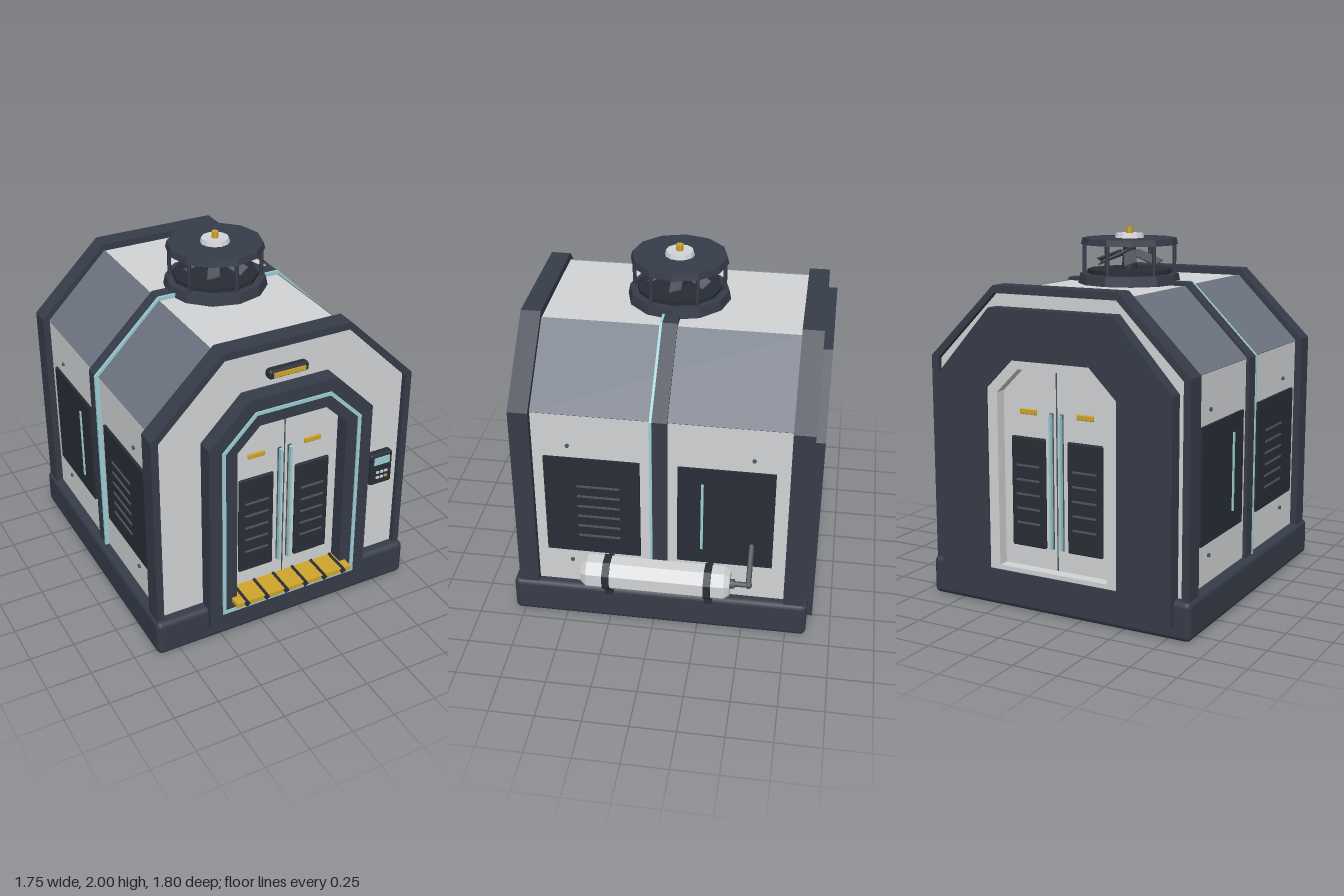
import * as THREE from 'three';
import { RoundedBoxGeometry } from 'three/addons/geometries/RoundedBoxGeometry.js';

const mat = (name, color) => Object.assign(new THREE.MeshStandardMaterial({ color }), { name });

export function createModel() {
  const white = mat('off white', 0xd2d3d5), dark = mat('dark blue grey', 0x363c49),
    panel = mat('charcoal', 0x282d36), slate = mat('slate', 0x6d7480),
    cyan = mat('pale cyan', 0x9ccfd4), yellow = mat('amber', 0xcfa52d), grey = mat('mid grey', 0x50555e);

  const root = new THREE.Group();
  root.name = 'pod';
  // everything but the tank is symmetric about this x
  const pod = new THREE.Group();
  pod.name = 'body';
  pod.position.x = -0.095;
  root.add(pod);

  const add = (parent, name, geo, material, x = 0, y = 0, z = 0) => {
    const m = new THREE.Mesh(geo, material);
    m.name = name;
    m.position.set(x, y, z);
    parent.add(m);
    return m;
  };
  const box = (parent, name, material, x0, x1, y0, y1, z0, z1) =>
    add(parent, name, new THREE.BoxGeometry(x1 - x0, y1 - y0, z1 - z0), material,
      (x0 + x1) / 2, (y0 + y1) / 2, (z0 + z1) / 2);
  const rbox = (parent, name, material, x0, x1, y0, y1, z0, z1, r) =>
    add(parent, name, new RoundedBoxGeometry(x1 - x0, y1 - y0, z1 - z0, 2, r), material,
      (x0 + x1) / 2, (y0 + y1) / 2, (z0 + z1) / 2);
  const flat = (geo) => {
    const g = geo.toNonIndexed();
    g.computeVertexNormals();
    return g;
  };
  // faceted upright cylinder between two heights
  const drum = (parent, name, material, rt, rb, y0, y1, sides, x = 0, z = 0) =>
    add(parent, name, flat(new THREE.CylinderGeometry(rt, rb, y1 - y0, sides)), material, x, (y0 + y1) / 2, z);

  // gabled outline: half width, bottom, shoulder height, half width of top, top
  const outline = ([w, y0, ys, t, y1]) =>
    [[-w, y0], [w, y0], [w, ys], [t, y1], [-t, y1], [-w, ys]].map((p) => new THREE.Vector2(...p));
  const slab = (parent, name, material, outer, inner, z0, z1) => {
    const s = new THREE.Shape(outline(outer));
    if (inner) s.holes.push(new THREE.Path(outline(inner)));
    return add(parent, name, new THREE.ExtrudeGeometry(s, { depth: z1 - z0, bevelEnabled: false }), material, 0, 0, z0);
  };

  // base and shell
  rbox(pod, 'base', dark, -0.785, 0.785, 0, 0.21, -0.865, 0.805, 0.03);
  const shell = [0.73, 0.15, 1.32, 0.36, 1.69];
  slab(pod, 'shell', white, shell, null, -0.815, 0.74);
  const frame = [0.77, 0.15, 1.335, 0.368, 1.73];
  slab(pod, 'frontFrame', dark, frame, shell, 0.66, 0.77);
  slab(pod, 'backFrame', dark, frame, shell, -0.845, -0.73);
  slab(pod, 'middleRib', dark, [0.75, 0.15, 1.328, 0.364, 1.71], null, -0.075, 0.006);
  slab(pod, 'ribLight', cyan, [0.755, 0.2, 1.329, 0.366, 1.712], null, 0.006, 0.02);

  // sloping roof plates, side panels and bolts on both sides
  for (const s of [1, -1]) {
    const side = new THREE.Group();
    side.name = s > 0 ? 'leftSide' : 'rightSide';
    pod.add(side);
    const corners = [[0.73, 1.32], [0.734, 1.324], [0.364, 1.694], [0.36, 1.69]].map(([x, y]) => new THREE.Vector2(s * x, y));
    add(side, 'roofSlope', new THREE.ExtrudeGeometry(new THREE.Shape(corners), { depth: 1.39, bevelEnabled: false }), slate, 0, 0, -0.73);
    const wall = (name, m, d0, d1, y0, y1, z0, z1) =>
      box(side, name, m, Math.min(s * d0, s * d1), Math.max(s * d0, s * d1), y0, y1, z0, z1);
    wall('ventPanel', panel, 0.72, 0.745, 0.435, 1.055, 0.075, 0.6);
    wall('equipmentPanel', panel, 0.72, 0.745, 0.435, 1.055, -0.655, -0.13);
    for (let i = 0; i < 6; i++) wall('slat', grey, 0.745, 0.752, 0.545 + i * 0.066, 0.555 + i * 0.066, 0.185, 0.42);
    wall('sideLight', cyan, 0.745, 0.753, 0.53, 0.96, -0.272, -0.258);
    for (const z of [0.465, -0.535]) for (const y of [0.36, 1.13]) {
      const b = add(side, 'bolt', new THREE.CylinderGeometry(0.011, 0.011, 0.02, 8), grey, s * 0.73, y, z);
      b.rotation.z = Math.PI / 2;
    }
  }

  // double door, built around z = 0 facing +z
  const opening = [0.325, 0.24, 1.18, 0.195, 1.31];
  const door = (name) => {
    const g = new THREE.Group();
    g.name = name;
    slab(g, 'doorLeaves', white, opening, null, -0.01, 0.008);
    box(g, 'doorSeam', grey, -0.003, 0.003, 0.24, 1.31, 0.008, 0.011);
    for (const s of [-1, 1]) {
      const cx = s * 0.17;
      rbox(g, 'doorPanel', panel, cx - 0.103, cx + 0.103, 0.35, 0.945, 0, 0.022, 0.008);
      for (let i = 0; i < 5; i++) {
        const y = 0.48 + i * 0.078;
        box(g, 'doorSlat', grey, cx - 0.07, cx + 0.07, y - 0.005, y + 0.005, 0.022, 0.028);
      }
      rbox(g, 'doorMarker', yellow, cx - 0.05, cx + 0.05, 1.065, 1.095, 0.002, 0.018, 0.005);
      box(g, 'handleBacking', grey, s * 0.03 - 0.01, s * 0.03 + 0.01, 0.355, 1.085, 0.008, 0.014);
      box(g, 'handle', cyan, s * 0.03 - 0.006, s * 0.03 + 0.006, 0.36, 1.08, 0.014, 0.035);
    }
    pod.add(g);
    return g;
  };
  door('frontDoor').position.z = 0.74;
  const back = door('backDoor');
  back.position.z = -0.815;
  back.rotation.y = Math.PI;

  // front portal with light line
  slab(pod, 'portal', dark, [0.485, 0.1, 1.237, 0.255, 1.47], opening, 0.72, 0.835);
  slab(pod, 'portalLight', cyan, [0.413, 0.17, 1.205, 0.222, 1.397], [0.393, 0.19, 1.197, 0.214, 1.377], 0.833, 0.842);

  // back portal
  const backHole = [0.385, 0.215, 1.2, 0.23, 1.355];
  slab(pod, 'backPanel', dark, [0.695, 0.08, 1.25, 0.365, 1.62], backHole, -0.895, -0.81);
  slab(pod, 'backDoorFrame', white, backHole, opening, -0.885, -0.81);

  // striped door sill
  box(pod, 'sill', yellow, -0.357, 0.36, 0.236, 0.262, 0.75, 0.9);
  for (let i = 0; i < 6; i++) {
    const m = box(pod, 'sillStripe', panel, -0.014, 0.014, 0.233, 0.265, 0.749, 0.903);
    m.position.x = -0.297 + i * 0.121;
    m.rotation.z = 0.5;
  }

  // lamp above the door
  rbox(pod, 'lampHousing', panel, -0.118, 0.118, 1.52, 1.575, 0.73, 0.785, 0.02);
  box(pod, 'lamp', yellow, -0.092, 0.092, 1.535, 1.56, 0.78, 0.792);

  // keypad
  rbox(pod, 'keypad', panel, 0.533, 0.677, 0.67, 0.87, 0.73, 0.785, 0.015);
  box(pod, 'keypadScreen', cyan, 0.555, 0.655, 0.803, 0.85, 0.78, 0.79);
  for (let r = 0; r < 2; r++) for (let c = 0; c < 3; c++) {
    const x = 0.58 + c * 0.027, y = 0.72 + r * 0.033;
    box(pod, 'key', r === 0 && c === 2 ? yellow : white, x - 0.009, x + 0.009, y - 0.007, y + 0.007, 0.78, 0.791);
  }

  // roof ventilator
  const vent = new THREE.Group();
  vent.name = 'ventilator';
  vent.position.z = -0.035;
  pod.add(vent);
  drum(vent, 'ventBase', dark, 0.275, 0.288, 1.68, 1.745, 12);
  drum(vent, 'ventCollar', panel, 0.235, 0.235, 1.745, 1.768, 12);
  drum(vent, 'ventCap', dark, 0.262, 0.27, 1.905, 1.94, 12);
  for (let i = 0; i < 6; i++) {
    const a = i * Math.PI / 3;
    drum(vent, 'ventPost', dark, 0.011, 0.011, 1.74, 1.91, 6, 0.25 * Math.sin(a), 0.25 * Math.cos(a));
    const arm = new THREE.Group();
    arm.name = 'fanArm';
    arm.rotation.y = a + Math.PI / 6;
    const blade = add(arm, 'fanBlade', new THREE.BoxGeometry(0.07, 0.008, 0.16), grey, 0, 1.835, 0.11);
    blade.rotation.set(0.35, 0, 0.4);
    vent.add(arm);
  }
  drum(vent, 'fanHub', panel, 0.035, 0.045, 1.76, 1.905, 8);
  drum(vent, 'ventDisc', white, 0.075, 0.082, 1.94, 1.965, 12);
  drum(vent, 'ventKnob', yellow, 0.02, 0.02, 1.96, 2.0, 8);

  // side tank, lying along z
  const tank = new THREE.Group();
  tank.name = 'tank';
  tank.position.set(0.78, 0.41, 0);
  root.add(tank);
  const lathe = (name, m, pts) => {
    const g = new THREE.LatheGeometry(pts.map((p) => new THREE.Vector2(...p)), 8, Math.PI / 8);
    const mesh = add(tank, name, flat(g), m);
    mesh.rotation.x = Math.PI / 2;
  };
  lathe('tankBody', white, [[0, -0.44], [0.07, -0.44], [0.095, -0.41], [0.095, 0.345], [0.07, 0.376], [0, 0.376]]);
  for (const z of [0.235, -0.32]) {
    lathe('tankBand', panel, [[0.09, z - 0.02], [0.102, z - 0.02], [0.102, z + 0.02], [0.09, z + 0.02]]);
    box(tank, 'tankBracket', panel, -0.12, 0, -0.16, -0.08, z - 0.02, z + 0.02);
    rbox(tank, 'tankMount', panel, -0.13, -0.07, -0.18, 0.04, z - 0.015, z + 0.015, 0.008);
  }

  // feed pipe from tank to wall
  const pipe = new THREE.CurvePath();
  const pts = [[0, 0, -0.43], [0, 0, -0.54], [-0.14, 0.17, -0.54]].map((p) => new THREE.Vector3(...p));
  for (let i = 0; i < 2; i++) pipe.add(new THREE.LineCurve3(pts[i], pts[i + 1]));
  add(tank, 'feedPipe', new THREE.TubeGeometry(pipe, 24, 0.015, 8), grey);
  add(tank, 'pipeElbow', new THREE.SphereGeometry(0.02, 10, 8), grey, 0, 0, -0.54);
  const nozzle = add(tank, 'tankNozzle', new THREE.CylinderGeometry(0.026, 0.026, 0.03, 8), grey, 0, 0, -0.45);
  nozzle.rotation.x = Math.PI / 2;

  return root;
}
